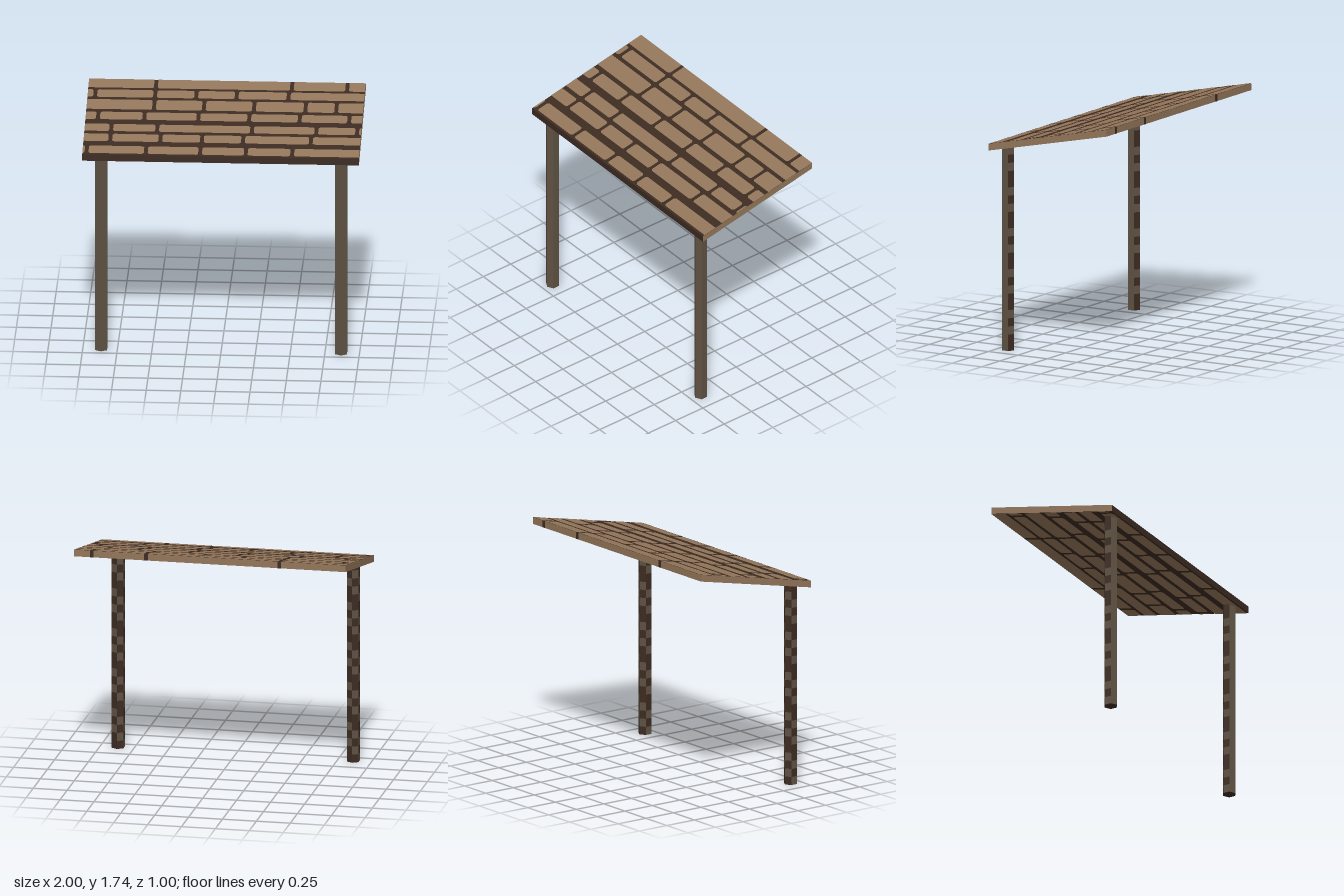
import * as THREE from 'three';

const mat = (name, color) => new THREE.MeshStandardMaterial({ name, color });

// Roof slope: height of the slab's middle plane at depth z
const SLOPE = -0.208, MID = 1.609, HALF = 0.025;

function shear(geo, offset) {
  const p = geo.attributes.position;
  for (let i = 0; i < p.count; i++) p.setY(i, p.getY(i) + MID + offset + SLOPE * p.getZ(i));
  geo.computeVertexNormals();
  return geo;
}

// Row of bricks: depth range and the centres of its upright joints
const ROWS = [
  [-0.5, -0.385, [-0.512, 0.47, 0.87]],
  [-0.36, -0.26, [-0.945, -0.512, -0.215, 0.077, 0.452]],
  [-0.23, -0.1, [-0.512, -0.152, 0.21, 0.582, 0.805]],
  [-0.065, 0.035, [-0.91, -0.575, -0.185, 0.182, 0.547, 0.905]],
  [0.095, 0.19, [-0.807, -0.475, 0.21, 0.675, 0.97]],
  [0.225, 0.325, [-0.807, -0.445, -0.145, 0.152, 0.642]],
  [0.385, 0.485, [-0.97, -0.542, -0.15, 0.18, 0.515]],
];
const JOINT = 0.014;

// Brick outline with softened corners, square where it meets the slab's edge
function brickShape(x0, x1, z0, z1) {
  const l = x0 <= -1 ? 0 : 0.012, r = x1 >= 1 ? 0 : 0.012;
  const b = z0 <= -0.5 ? 0 : 1;
  const s = new THREE.Shape();
  s.moveTo(x0 + l, -z1);
  s.lineTo(x1 - r, -z1);
  s.lineTo(x1, -z1 + r);
  s.lineTo(x1, -z0 - r * b);
  s.lineTo(x1 - r * b, -z0);
  s.lineTo(x0 + l * b, -z0);
  s.lineTo(x0, -z0 - l * b);
  s.lineTo(x0, -z1 + l);
  return s;
}

function brickShapes() {
  const shapes = [];
  for (const [z0, z1, joints] of ROWS) {
    const cuts = [-1 - JOINT, ...joints, 1 + JOINT];
    for (let i = 0; i + 1 < cuts.length; i++) {
      shapes.push(brickShape(cuts[i] + JOINT, cuts[i + 1] - JOINT, z0, z1));
    }
  }
  return shapes;
}

// Six-sided post: plain front and +x sides, patchy back and -x sides
function makePost(x, plain, dark) {
  const steps = 25, height = 1.505;
  const geo = new THREE.CylinderGeometry(0.05, 0.05, height, 6, steps);
  geo.clearGroups();
  for (let side = 0; side < 6; side++) {
    for (let j = 0; j < steps; j++) {
      const patch = (j * 2 + side * 3) % 5 < 2;
      const isPlain = side < 2 || side === 5 || patch;
      geo.addGroup(6 * (side * steps + j), 6, isPlain ? 0 : 1);
    }
  }
  const sides = 36 * steps;
  geo.addGroup(sides, geo.index.count - sides, 1);
  const flat = geo.toNonIndexed();
  flat.computeVertexNormals();
  const post = new THREE.Mesh(flat, [plain, dark]);
  post.position.set(x, height / 2, 0.415);
  return post;
}

export function createModel() {
  const plank = mat('roofBrown', 0x93765a);
  const dark = mat('darkBrown', 0x3c2b21);
  const postMat = mat('postBrown', 0x5e5142);
  const group = new THREE.Group();
  const add = (name, mesh) => { mesh.name = name; group.add(mesh); };

  // Sloping slab with upright ends
  const slab = shear(new THREE.BoxGeometry(2, HALF * 2, 1), 0);
  add('roofSlab', new THREE.Mesh(slab, [plank, plank, dark, dark, dark, plank]));

  // Brick plates above and below
  const top = new THREE.ShapeGeometry(brickShapes()).rotateX(-Math.PI / 2);
  const under = top.clone();
  const idx = under.index;
  for (let i = 0; i < idx.count; i += 3) {
    const a = idx.getX(i);
    idx.setX(i, idx.getX(i + 1));
    idx.setX(i + 1, a);
  }
  add('roofTopBricks', new THREE.Mesh(shear(top, HALF + 0.002), plank));
  add('roofUndersideBricks', new THREE.Mesh(shear(under, -HALF - 0.002), plank));

  // Joints carried over the back edge
  for (const x of ROWS[0][2]) {
    const joint = new THREE.Mesh(new THREE.BoxGeometry(JOINT * 2, HALF * 2, 0.003), dark);
    joint.position.set(x, MID - SLOPE * 0.5, -0.5);
    add('backEdgeJoint', joint);
  }

  // Posts
  add('rightPost', makePost(-0.867, postMat, dark));
  add('leftPost', makePost(0.867, postMat, dark));
  return group;
}
